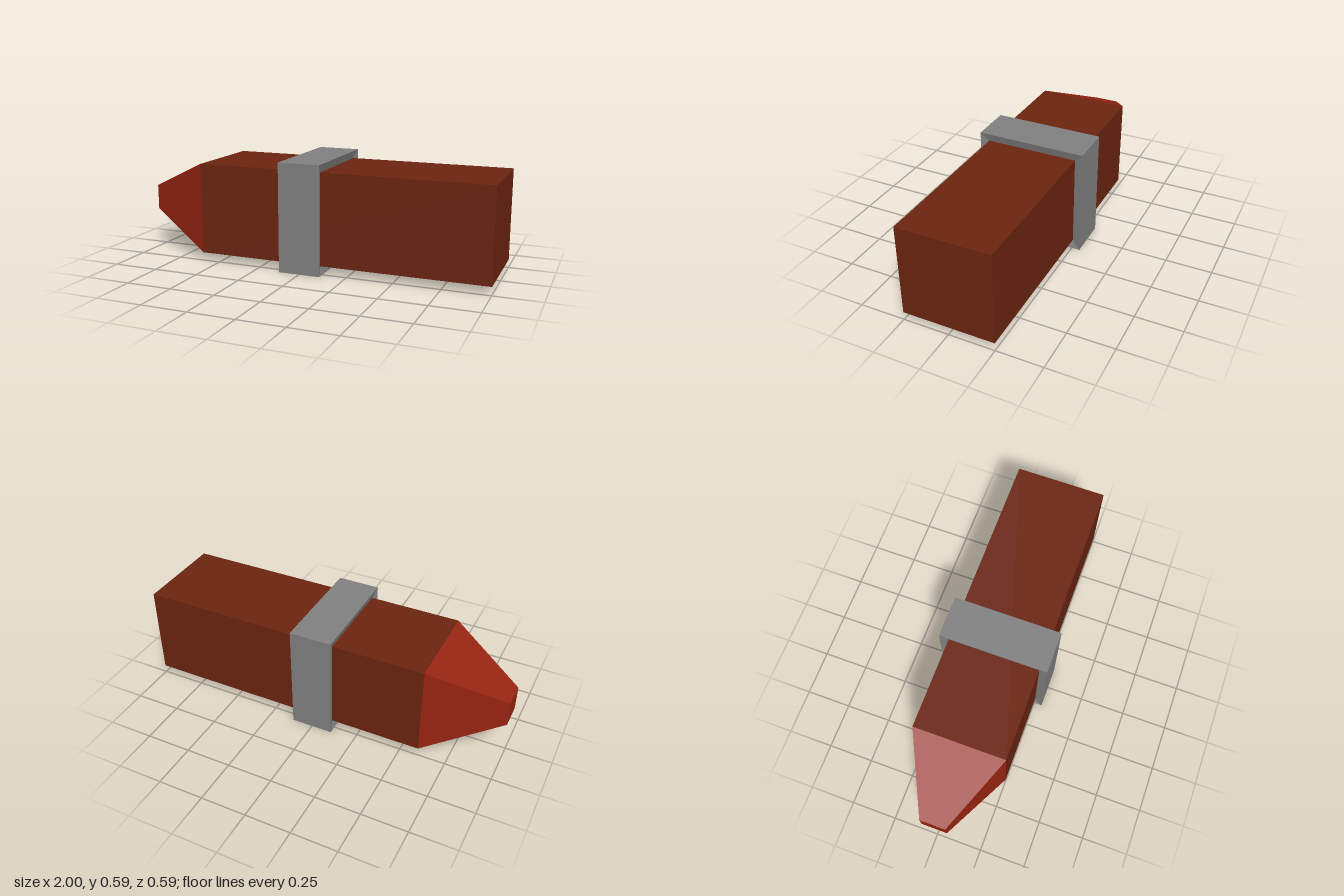
import * as THREE from 'three';

const mat = (name, color) => {
  const m = new THREE.MeshStandardMaterial({ color });
  m.name = name;
  return m;
};

// Turns a four-sided solid of revolution about y into a flat-faced one lying along x (+y becomes -x)
function squareAlongX(geometry) {
  const g = geometry.toNonIndexed();
  g.computeVertexNormals();
  return g.rotateZ(Math.PI / 2);
}

export function createModel() {
  const group = new THREE.Group();
  group.name = 'crayon';
  const midY = 0.295;
  const corner = Math.SQRT2; // half width to corner radius

  const brown = mat('dark brown', 0x6b2410);
  const red = mat('brick red', 0x962410);
  const grey = mat('grey', 0x808080);

  const add = (name, geometry, material, x) => {
    const mesh = new THREE.Mesh(geometry, material);
    mesh.name = name;
    mesh.position.set(x, midY, 0);
    group.add(mesh);
  };

  // Square shaft
  add('body', new THREE.BoxGeometry(1.6, 0.5, 0.5), brown, 0.2);

  // Blunt tapered tip
  const tip = new THREE.CylinderGeometry(0.07 * corner, 0.25 * corner, 0.4, 4, 1, false, Math.PI / 4);
  add('tip', squareAlongX(tip), red, -0.8);

  // Band around the shaft, its end faces sloping slightly inward
  const profile = [[0.25, -0.102], [0.295, -0.115], [0.295, 0.115], [0.25, 0.102]]
    .map(([r, y]) => new THREE.Vector2(r * corner, y));
  add('band', squareAlongX(new THREE.LatheGeometry(profile, 4, Math.PI / 4)), grey, 0);

  return group;
}
